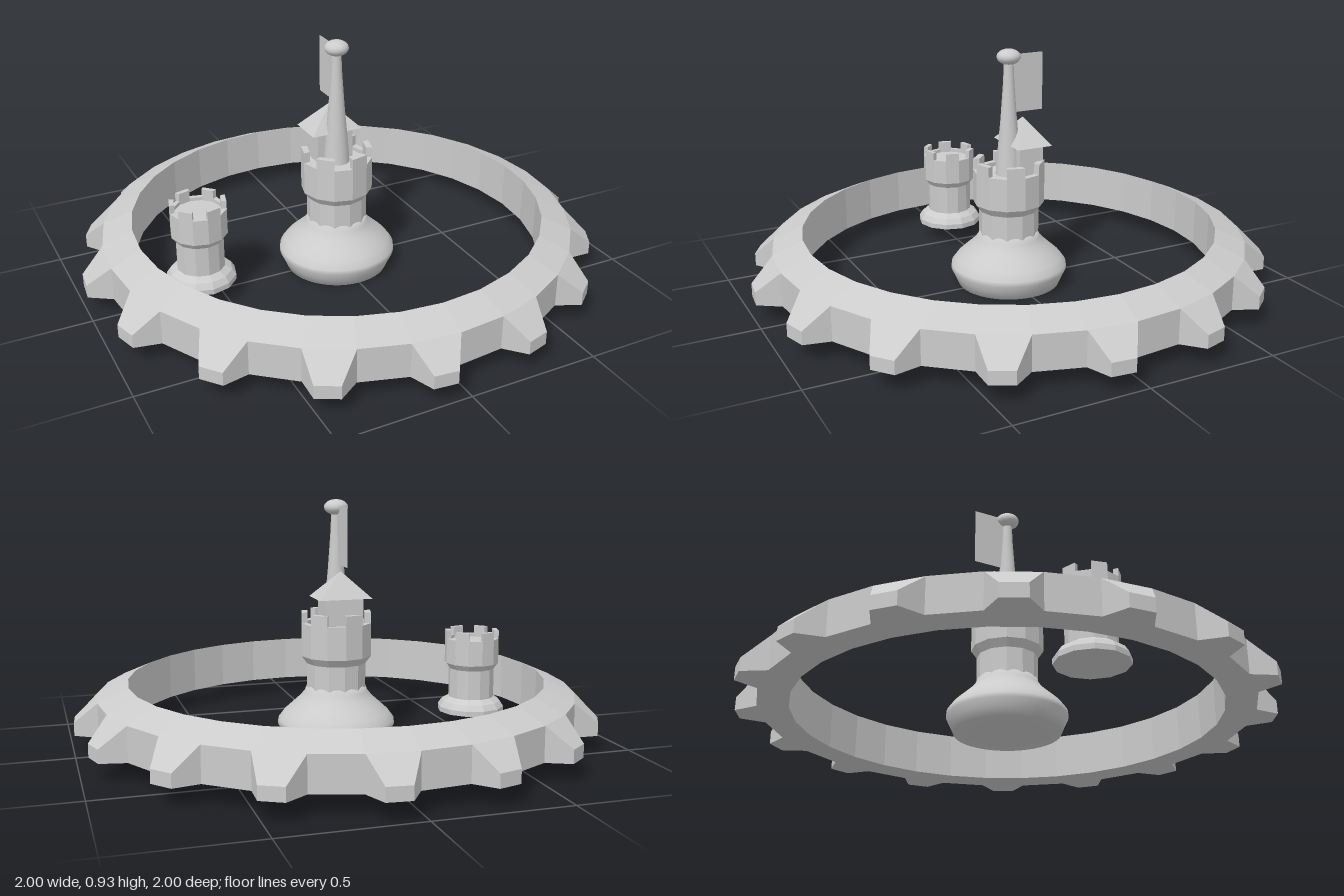
import * as THREE from 'three';

const flat = new THREE.MeshStandardMaterial({ color: 0xcccccc, flatShading: true });
const smooth = new THREE.MeshStandardMaterial({ color: 0xcccccc });
const thin = new THREE.MeshStandardMaterial({ color: 0xcccccc, side: THREE.DoubleSide });

function part(name, geometry, material, x = 0, y = 0, z = 0) {
  const mesh = new THREE.Mesh(geometry, material);
  mesh.name = name;
  mesh.position.set(x, y, z);
  return mesh;
}

const polar = (r, y, a) => [r * Math.cos(a), y, r * Math.sin(a)];
const quad = (out, a, b, c, d) => out.push(...a, ...b, ...c, ...a, ...c, ...d);

function facets(out) {
  const g = new THREE.BufferGeometry();
  g.setAttribute('position', new THREE.Float32BufferAttribute(out, 3));
  g.computeVertexNormals();
  return g;
}

// Sweeps a four-point [radius, y] profile between two angles
function sweep(out, profile, a0, a1, capped) {
  const p = profile.map(([r, y]) => polar(r, y, a0));
  const q = profile.map(([r, y]) => polar(r, y, a1));
  for (let i = 0; i < 4; i++) {
    const j = (i + 1) % 4;
    quad(out, p[i], p[j], q[j], q[i]);
  }
  if (capped) {
    quad(out, q[0], q[1], q[2], q[3]);
    quad(out, p[3], p[2], p[1], p[0]);
  }
}

// Sloped ring with a tapered tooth on every other segment
function gearRing() {
  const out = [], n = 32, step = (Math.PI * 2) / n;
  const low = 0.07, shoulder = 0.2, rim = 0.915;
  const profile = [[rim, low], [rim, shoulder], [0.8, 0.25], [0.8, low]];
  for (let i = 0; i < n; i++) {
    const a0 = i * step, a1 = a0 + step;
    sweep(out, profile, a0, a1, false);
    if (i % 2) continue;
    const angles = [a0, a0 + step * 0.28, a0 + step * 0.74, a1];
    const radii = [rim, 1.0, 1.0, rim];
    const tops = [shoulder, 0.12, 0.12, shoulder];
    const b = angles.map((a, k) => polar(radii[k], low, a));
    const t = angles.map((a, k) => polar(radii[k], tops[k], a));
    for (let k = 0; k < 3; k++) quad(out, b[k], t[k], t[k + 1], b[k + 1]);
    quad(out, t[1], t[0], t[3], t[2]);
    quad(out, b[0], b[1], b[2], b[3]);
  }
  return facets(out);
}

// Twelve-sided turret standing on its own origin, 0.33 tall
function turret(name) {
  const group = new THREE.Group();
  group.name = name;
  const body = [
    [0, 0], [0.133, 0], [0.133, 0.02], [0.118, 0.042], [0.091, 0.058], [0.091, 0.175],
    [0.108, 0.198], [0.108, 0.298], [0.089, 0.298], [0.089, 0.285], [0, 0.285],
  ].map(([r, y]) => new THREE.Vector2(r, y));
  group.add(part('turretBody', new THREE.LatheGeometry(body, 12).toNonIndexed(), flat));
  const out = [], step = Math.PI / 6;
  for (let i = 0; i < 12; i += 2) {
    sweep(out, [[0.108, 0.295], [0.108, 0.33], [0.089, 0.33], [0.089, 0.295]], i * step, (i + 1) * step, true);
  }
  group.add(part('battlements', facets(out), flat));
  return group;
}

export function createModel() {
  const model = new THREE.Group();
  model.name = 'gearCastle';
  model.add(part('gearRing', gearRing(), flat));

  // Rounded bell under the main tower
  const bell = [
    [0, 0], [0.2, 0], [0.215, 0.035], [0.228, 0.062], [0.226, 0.08], [0.205, 0.108],
    [0.172, 0.138], [0.142, 0.165], [0.122, 0.19], [0.112, 0.215], [0, 0.215],
  ].map(([r, y]) => new THREE.Vector2(r, y));
  model.add(part('bellBase', new THREE.LatheGeometry(bell, 48), smooth));

  // Main tower and the small side turret share one design
  const mainTower = turret('mainTower');
  mainTower.scale.setScalar(1.28);
  mainTower.position.y = 0.078;
  const sideTurret = turret('sideTurret');
  sideTurret.position.set(-0.573, 0.07, 0);
  model.add(mainTower, sideTurret);

  // Hut with a pyramid roof on the tower top
  model.add(part('hutWalls', new THREE.BoxGeometry(0.15, 0.13, 0.1), flat, 0, 0.5, -0.06));
  const roof = new THREE.ConeGeometry(Math.SQRT2, 1, 4, 1).rotateY(Math.PI / 4);
  roof.scale(0.104, 0.1, 0.072);
  model.add(part('hutRoof', roof.toNonIndexed(), flat, 0, 0.613, -0.06));

  // Flagpole, finial and flag
  const pole = [[0.052, 0.43], [0.045, 0.52], [0.032, 0.66], [0.022, 0.8], [0.018, 0.89]]
    .map(([r, y]) => new THREE.Vector2(r, y));
  model.add(part('flagpole', new THREE.LatheGeometry(pole, 20), smooth));
  const finial = new THREE.SphereGeometry(0.046, 24, 16).scale(1, 0.65, 1);
  model.add(part('finial', finial, smooth, 0, 0.902, 0));
  model.add(part('flag', new THREE.PlaneGeometry(0.135, 0.225).rotateY(Math.PI / 2), thin, 0, 0.797, -0.0775));
  return model;
}
